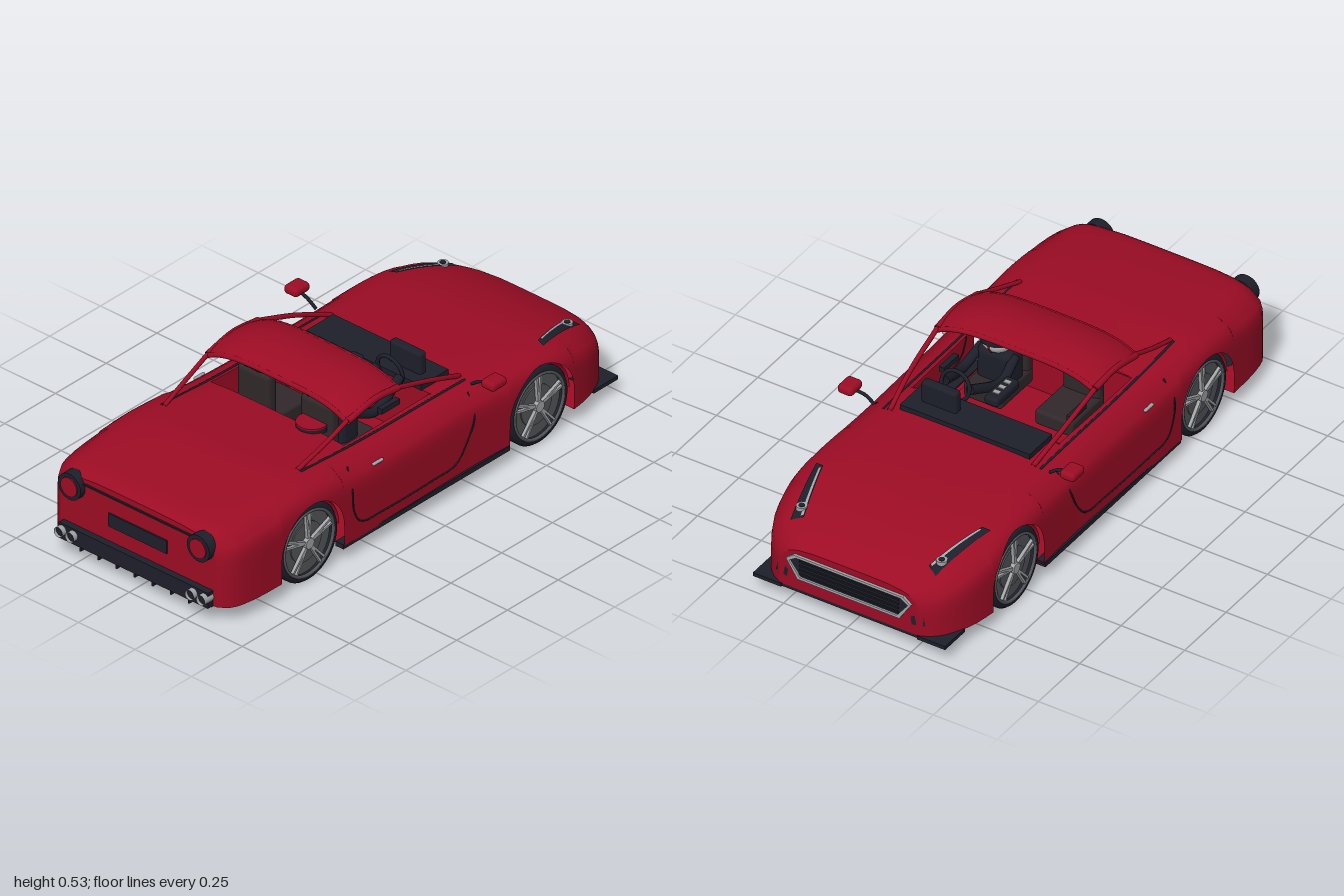
import * as THREE from 'three';
import { RoundedBoxGeometry } from 'three/addons/geometries/RoundedBoxGeometry.js';
import { ParametricGeometry } from 'three/addons/geometries/ParametricGeometry.js';

const mat = (name, color) => new THREE.MeshStandardMaterial({ name, color, side: THREE.DoubleSide });
const V = (x, y, z) => new THREE.Vector3(x, y, z);
const FLOOR = 0.066, AXLES = [-0.55, 0.585], AXLE_Y = 0.145, ARCH = 0.155, N = 5;

// smooth interpolation through [x, value] pairs
function curve(p) {
  const slope = i => {
    const a = p[Math.max(i - 1, 0)], b = p[Math.min(i + 1, p.length - 1)];
    return (b[1] - a[1]) / (b[0] - a[0]);
  };
  return x => {
    let i = 0;
    while (i < p.length - 2 && x > p[i + 1][0]) i++;
    const d = p[i + 1][0] - p[i][0], t = (x - p[i][0]) / d, t2 = t * t, t3 = t2 * t;
    return (2 * t3 - 3 * t2 + 1) * p[i][1] + (t3 - 2 * t2 + t) * d * slope(i)
      + (3 * t2 - 2 * t3) * p[i + 1][1] + (t3 - t2) * d * slope(i + 1);
  };
}
const halfWidth = curve([[-0.955, 0.345], [-0.93, 0.38], [-0.88, 0.4], [-0.78, 0.41], [-0.5, 0.41], [0, 0.4], [0.3, 0.397],
  [0.6, 0.41], [0.72, 0.408], [0.84, 0.387], [0.93, 0.345], [0.97, 0.305], [0.985, 0.275]]);
const height = curve([[-0.955, 0.325], [-0.93, 0.342], [-0.85, 0.355], [-0.6, 0.375], [-0.45, 0.371], [-0.2, 0.357], [0.2, 0.355],
  [0.5, 0.348], [0.65, 0.338], [0.77, 0.318], [0.88, 0.285], [0.96, 0.248], [0.985, 0.233]]);

// body section: rounded shoulder above a straight flank
const rise = 0.16, K = Math.pow(0.5, 1 / N);
const arc = t => Math.pow(Math.max(0, 1 - Math.pow(Math.min(Math.abs(t), 1), N)), 1 / N);
const topY = (x, z) => height(x) - rise + rise * arc(z / halfWidth(x));
const sideZ = (x, y) => halfWidth(x) * arc(Math.max(0, (y - height(x) + rise) / rise));
const axleNear = x => AXLES.find(c => Math.abs(x - c) <= ARCH + 1e-6);
function sillY(x) {
  const c = axleNear(x);
  return c === undefined ? FLOOR : AXLE_Y + Math.sqrt(Math.max(0, ARCH * ARCH - (x - c) ** 2));
}
const SIDE = 8, TOP = [0.92, 0.83, 0.6, 0.3, 0];
function section(x) {
  const pts = [], s = sillY(x), yc = height(x) - rise + rise * K;
  for (let j = 0; j <= SIDE; j++) {
    const y = s + (yc - s) * j / SIDE;
    pts.push([x, y, sideZ(x, y)]);
  }
  for (const f of TOP) { const z = halfWidth(x) * K * f; pts.push([x, topY(x, z), z]); }
  return [...pts, ...pts.slice(0, -1).reverse().map(([a, b, c]) => [a, b, -c])];
}

// skin joining a list of equal-length rows
function loft(rows, skip = () => false) {
  const g = new THREE.BufferGeometry(), n = rows[0].length, idx = [];
  g.setAttribute('position', new THREE.Float32BufferAttribute(rows.flat(2), 3));
  for (let i = 0; i < rows.length - 1; i++) for (let j = 0; j < n - 1; j++) {
    if (skip(i, j)) continue;
    const a = i * n + j, b = a + n;
    idx.push(a, b, a + 1, b, b + 1, a + 1);
  }
  g.setIndex(idx);
  g.computeVertexNormals();
  return g;
}

export function createModel() {
  const root = new THREE.Group();
  root.name = 'openSportsCar';
  const red = mat('bodyRed', 0x9c0c24), black = mat('trimBlack', 0x1d1f2a), brown = mat('seatBrown', 0x30282a),
    steel = mat('rimGrey', 0x55565a), silver = mat('silver', 0xa2a4a8), white = mat('helmetWhite', 0xd0d0d2);
  const add = (name, geo, m, x = 0, y = 0, z = 0, parent = root) => {
    const o = new THREE.Mesh(geo, m);
    o.name = name; o.position.set(x, y, z); parent.add(o);
    return o;
  };
  const box = (name, m, w, h, d, x, y, z) => add(name, new THREE.BoxGeometry(w, h, d), m, x, y, z);
  const soft = (name, m, w, h, d, x, y, z, r = 0.012) => add(name, new RoundedBoxGeometry(w, h, d, 3, r), m, x, y, z);
  const tube = (name, m, pts, r, seg = 24) =>
    add(name, new THREE.TubeGeometry(new THREE.CatmullRomCurve3(pts.map(p => V(...p))), seg, r, 8), m);
  const discX = (r, len) => new THREE.CylinderGeometry(r, r, len, 28).rotateZ(Math.PI / 2);

  // body shell with wheel arches and cockpit opening
  const xs = [-0.955, -0.945, -0.93, -0.905, -0.88, -0.83, -0.78, -0.27, -0.2, -0.1, 0, 0.1, 0.16, 0.25, 0.35, 0.78, 0.82, 0.86, 0.9, 0.93, 0.95, 0.97, 0.985];
  for (const c of AXLES) {
    xs.push(c - ARCH - 0.0005, c + ARCH + 0.0005);
    for (let i = 0; i <= 24; i++) xs.push(c - ARCH * Math.cos(Math.PI * i / 24));
  }
  xs.sort((a, b) => a - b);
  const rows = xs.map(section), n = rows[0].length;
  add('bodyShell', loft(rows, (i, j) => xs[i] >= -0.271 && xs[i + 1] <= 0.161 && j >= SIDE + 2 && j < n - SIDE - 3), red);
  for (const [name, r] of [['tailPanel', rows[0]], ['nosePanel', rows[rows.length - 1]]])
    add(name, loft(r.slice(0, (n + 1) / 2).map((p, j) => name === 'tailPanel' ? [p, r[n - 1 - j]] : [r[n - 1 - j], p])), red);
  add('underbody', loft(xs.map(x => {
    const w = axleNear(x) === undefined ? halfWidth(x) : 0.28;
    return [[x, FLOOR, -w], [x, FLOOR, w]];
  })), red);

  // cockpit tub
  box('cockpitFloor', red, 0.43, 0.01, 0.58, -0.055, 0.15, 0);
  for (const x of [-0.272, 0.162]) box('cockpitBulkhead', red, 0.004, 0.2, 0.58, x, 0.25, 0);
  box('dashboard', black, 0.135, 0.02, 0.51, 0.222, 0.36, 0);
  soft('instrumentBinnacle', black, 0.035, 0.09, 0.14, 0.217, 0.405, 0.14);
  soft('centreConsole', black, 0.14, 0.035, 0.055, 0.065, 0.385, 0);
  for (let i = 0; i < 3; i++) box('consoleButton', silver, 0.018, 0.004, 0.025, 0.03 + i * 0.033, 0.404, 0);
  for (const z of [0.14, -0.14]) {
    soft('seatCushion', brown, 0.2, 0.06, 0.15, -0.13, 0.25, z);
    soft('seatBack', brown, 0.05, 0.23, 0.145, -0.215, 0.335, z, 0.02);
    soft('headrest', brown, 0.045, 0.04, 0.1, -0.225, 0.47, z, 0.018);
  }
  // driver
  soft('driverTorso', black, 0.1, 0.18, 0.14, -0.14, 0.31, 0.14, 0.03);
  add('helmet', new THREE.SphereGeometry(0.063, 28, 20), white, -0.13, 0.445, 0.14);
  add('helmetVisor', new THREE.SphereGeometry(0.065, 20, 8, Math.PI / 2 + 0.4, Math.PI - 0.8, 1.25, 0.5).rotateY(0), black, -0.13, 0.445, 0.14);
  add('helmetStripe', new THREE.TorusGeometry(0.062, 0.004, 6, 32), red, -0.13, 0.445, 0.14);
  add('steeringWheel', new THREE.TorusGeometry(0.055, 0.007, 8, 28).rotateY(Math.PI / 2), black, 0.13, 0.395, 0.14).rotation.z = 0.15;
  for (const s of [1, -1]) {
    tube('driverArm', black, [[-0.13, 0.375, 0.14 + s * 0.065], [-0.03, 0.34, 0.14 + s * 0.075], [0.12, 0.39, 0.14 + s * 0.05]], 0.018);
    box('doorSwitch', black, 0.09, 0.02, 0.02, 0, 0.362, s * 0.25);
  }
  add('headrestHump', discX(0.055, 0.018).rotateZ(Math.PI / 2), black, -0.255, 0.362, 0.14);
  add('headrestHumpTop', discX(0.055, 0.006).rotateZ(Math.PI / 2), red, -0.255, 0.374, 0.14);

  // roof band
  const roofY = (x, z) => 0.532 - 1.6 * (x + 0.13) ** 2 - 0.045 * Math.pow(Math.abs(z) / 0.31, 4);
  add('roofBand', new ParametricGeometry((u, v, t) => {
    const x = -0.27 + 0.25 * u, z = 0.62 * (0.5 - v);
    t.set(x, roofY(x, z), z);
  }, 12, 32), red);
  for (const x of [-0.27, -0.02]) {
    const pts = [];
    for (let i = 0; i <= 16; i++) { const z = -0.31 + 0.62 * i / 16; pts.push([x, roofY(x, z) - 0.007, z]); }
    tube('roofEdge', red, pts, 0.009, 40);
  }

  for (const s of [1, -1]) {
    // pillars and roof sides
    tube('windscreenPillar', red, [[0.31, 0.347, s * 0.282], [0.15, 0.412, s * 0.3], [-0.02, 0.468, s * 0.309]], 0.009);
    tube('roofSide', red, [[-0.02, 0.468, s * 0.309], [-0.14, 0.478, s * 0.31], [-0.27, 0.452, s * 0.309]], 0.012);
    tube('rearPillar', red, [[-0.27, 0.455, s * 0.308], [-0.38, 0.41, s * 0.304], [-0.5, 0.366, s * 0.295]], 0.008);
    tube('windowSeal', black, [-0.5, -0.3, -0.1, 0.1, 0.31].map(x => [x, topY(x, 0.308), s * 0.308]), 0.004);
    // door seam and handle
    const seam = [[-0.34, 0.335], [-0.352, 0.26], [-0.345, 0.18], [-0.31, 0.125], [-0.2, 0.113], [0.05, 0.11], [0.17, 0.118], [0.225, 0.18], [0.262, 0.26], [0.275, 0.33]];
    tube('doorSeam', black, seam.map(([x, y]) => [x, y, s * sideZ(x, y)]), 0.003, 60);
    soft('doorHandle', silver, 0.05, 0.01, 0.012, -0.215, 0.306, s * (sideZ(-0.215, 0.306) + 0.003), 0.004);
    box('sideSkirt', black, 0.82, 0.018, 0.035, 0.015, 0.062, s * 0.387);
    // mirrors
    soft('mirrorHousing', red, 0.075, 0.035, 0.06, 0.312, 0.386, s * 0.436, 0.015);
    tube('mirrorStalk', black, [[0.305, 0.345, s * 0.345], [0.305, 0.368, s * 0.38], [0.31, 0.378, s * 0.42]], 0.006);
    // headlights draped on the front wings
    const drape = (name, m, lift, c) => add(name, new ParametricGeometry((u, v, t) => {
      const mix = k => (c[0][k] * (1 - v) + c[1][k] * v) * (1 - u) + (c[3][k] * (1 - v) + c[2][k] * v) * u;
      const x = mix(0), z = mix(1);
      t.set(x, topY(x, z) + lift, s * z);
    }, 16, 6), m);
    drape('headlight', black, 0.004, [[0.66, 0.342], [0.665, 0.312], [0.885, 0.245], [0.905, 0.285]]);
    drape('headlightStrip', silver, 0.007, [[0.68, 0.318], [0.68, 0.311], [0.88, 0.25], [0.885, 0.258]]);
    add('headlightLens', new THREE.CylinderGeometry(0.019, 0.019, 0.016, 20), silver, 0.852, topY(0.852, 0.275) + 0.003, s * 0.275);
    add('headlightBulb', new THREE.CylinderGeometry(0.011, 0.011, 0.018, 16), black, 0.852, topY(0.852, 0.275) + 0.004, s * 0.275);
    // front corner vents and splitter
    const vent = loft([[[0.988, 0.105, s * 0.245], [0.988, 0.135, s * 0.24]], [[0.979, 0.11, s * 0.293], [0.979, 0.16, s * 0.283]]]);
    add('cornerVent', vent, black);
    box('splitterCorner', black, 0.12, 0.014, 0.11, 0.93, 0.061, s * 0.322);
    // tail lamps and twin exhausts
    add('tailLampHousing', discX(0.05, 0.04), black, -0.958, 0.28, s * 0.285);
    add('tailLamp', discX(0.036, 0.008), red, -0.978, 0.28, s * 0.285);
    for (const z of [0.265, 0.315]) {
      add('exhaustPipe', new THREE.CylinderGeometry(0.019, 0.019, 0.09, 20, 1, true).rotateZ(Math.PI / 2), silver, -0.955, 0.1, s * z);
      add('exhaustInside', discX(0.0175, 0.05), black, -0.965, 0.1, s * z);
    }
  }

  // grille
  const outline = [[-0.215, 0.208], [0.215, 0.208], [0.245, 0.185], [0.2, 0.115], [-0.2, 0.115], [-0.245, 0.185]];
  const hexagon = k => outline.map(([z, y]) => new THREE.Vector2(z * k, 0.162 + (y - 0.162) * (k < 1 ? 0.8 : 1)));
  const frame = new THREE.Shape(hexagon(1));
  frame.holes.push(new THREE.Path(hexagon(0.95)));
  const extrude = (shape, depth) => new THREE.ExtrudeGeometry(shape, { depth, bevelEnabled: false }).rotateY(Math.PI / 2);
  add('grilleFrame', extrude(frame, 0.012), silver, 0.983);
  add('grilleBack', extrude(new THREE.Shape(hexagon(0.955)), 0.005), black, 0.983);
  for (let i = 0; i < 4; i++) box('grilleSlat', black, 0.006, 0.006, 0.39, 0.99, 0.136 + i * 0.017, 0);
  box('frontLip', black, 0.03, 0.012, 0.54, 0.97, 0.061, 0);

  // rear plate panel, trim line and diffuser
  box('rearPlatePanel', black, 0.008, 0.05, 0.26, -0.957, 0.21, 0);
  box('rearTrimLine', black, 0.008, 0.006, 0.48, -0.957, 0.3, 0);
  box('rearBumper', black, 0.05, 0.06, 0.66, -0.955, 0.095, 0);
  box('diffuser', black, 0.13, 0.014, 0.64, -0.885, 0.06, 0);
  for (let i = -3; i <= 3; i++) box('diffuserFin', black, 0.15, 0.02, 0.006, -0.9, 0.056, i * 0.08);

  // wheels and wells
  const tyreProfile = [[0.118, -0.042], [0.138, -0.042], [0.145, -0.033], [0.145, 0.033], [0.138, 0.042], [0.122, 0.042]];
  const tyre = new THREE.LatheGeometry(tyreProfile.map(p => new THREE.Vector2(...p)), 48).rotateX(Math.PI / 2);
  const axial = (r, len) => new THREE.CylinderGeometry(r, r, len, 32).rotateX(Math.PI / 2);
  for (const c of AXLES) for (const s of [1, -1]) {
    const well = new THREE.CylinderGeometry(ARCH, ARCH, 0.105, 32, 1, true, Math.PI / 2, Math.PI).rotateX(Math.PI / 2);
    add('wheelWell', well, red, c, AXLE_Y, s * 0.333);
    add('wheelWellWall', new THREE.CircleGeometry(ARCH, 32, 0, Math.PI), red, c, AXLE_Y, s * 0.281);
    box('wheelWellLowerWall', red, 2 * ARCH, AXLE_Y - FLOOR, 0.003, c, (AXLE_Y + FLOOR) / 2, s * 0.281);
    const wheel = new THREE.Group();
    wheel.name = 'wheel';
    wheel.position.set(c, AXLE_Y, s * 0.35);
    if (s < 0) wheel.rotation.y = Math.PI;
    root.add(wheel);
    add('tyre', tyre, black, 0, 0, 0, wheel);
    add('rimDish', axial(0.12, 0.05), steel, 0, 0, 0, wheel);
    add('rimLip', new THREE.TorusGeometry(0.121, 0.006, 8, 48), steel, 0, 0, 0.04, wheel);
    add('brakeDisc', axial(0.075, 0.01), steel, 0, 0, 0.025, wheel);
    add('hub', axial(0.02, 0.03), silver, 0, 0, 0.032, wheel);
    for (let i = 0; i < 5; i++) for (const k of [-1, 1]) {
      const spoke = new THREE.BoxGeometry(0.008, 0.112, 0.012).translate(0, 0.062, 0).rotateZ(i * Math.PI * 0.4 + k * 0.09);
      add('spoke', spoke, silver, 0, 0, 0.036, wheel);
    }
  }
  return root;
}
